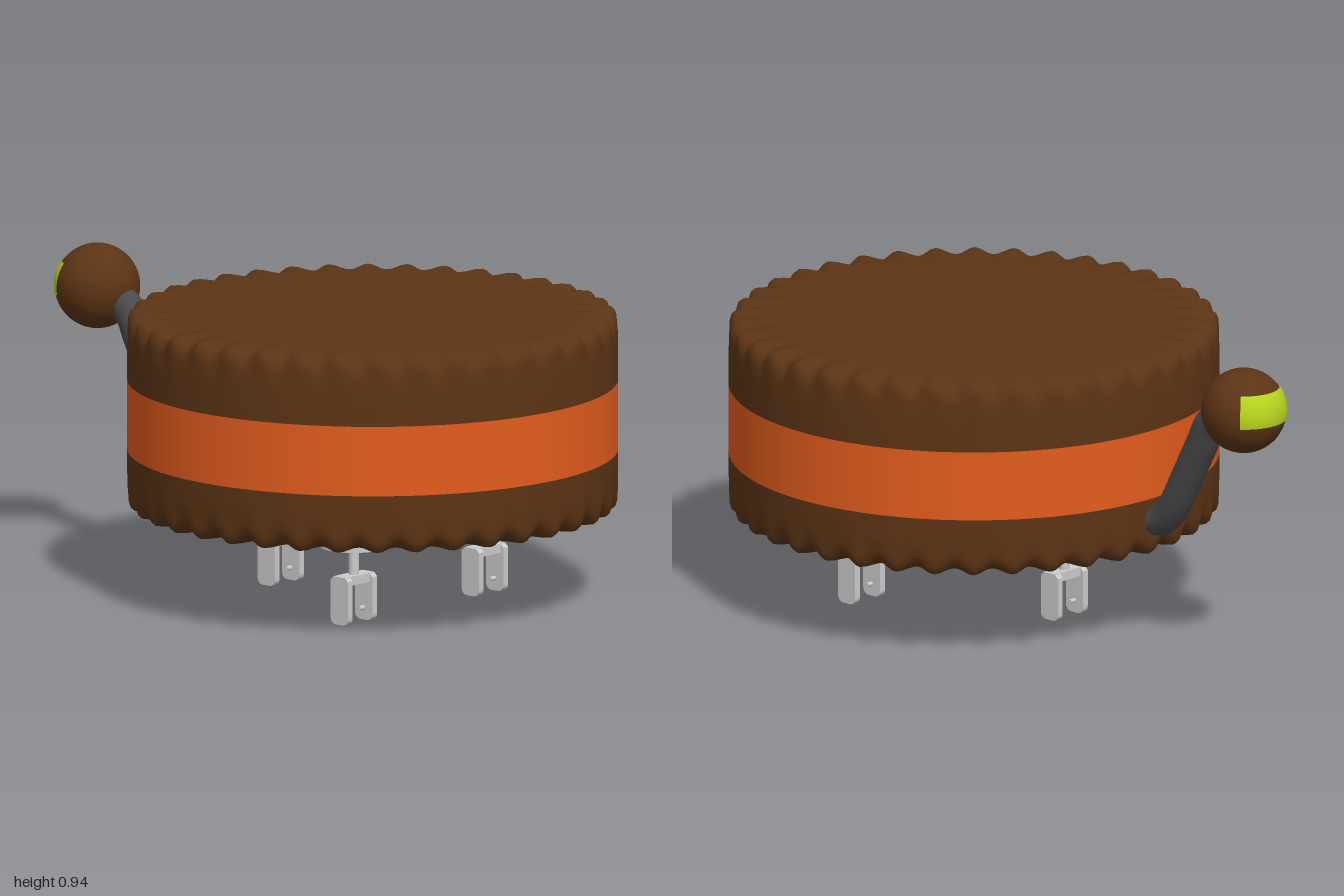
import * as THREE from 'three';
import { mergeVertices } from 'three/addons/utils/BufferGeometryUtils.js';

const material = (color, side = THREE.FrontSide) => new THREE.MeshStandardMaterial({ color, side });
const brown = material(0x5c3415);
const orange = material(0xe35c1e, THREE.DoubleSide);
const yellow = material(0xb8d61e, THREE.DoubleSide);
const rubber = material(0x4a4a4c);
const grey = material(0xcccccc);

function add(parent, name, geometry, mat, x = 0, y = 0, z = 0) {
  const mesh = new THREE.Mesh(geometry, mat);
  mesh.name = name;
  mesh.position.set(x, y, z);
  parent.add(mesh);
  return mesh;
}

const RADIUS = 0.745, TOP = 0.89, BOTTOM = 0.275, CENTRE_Z = 0.25, PLEATS = 38;

// Cushion half: lathe profile whose rim is pinched in and down between the pleats
function cushionHalf(isTop) {
  // radius, drop from the flat face, pinch weight
  const rim = [
    [RADIUS, 0.215, 0], [RADIUS, 0.11, 0], [RADIUS, 0.06, 0.35], [0.744, 0.035, 0.8], [0.738, 0.016, 1],
    [0.725, 0.005, 1], [0.70, 0.001, 0.75], [0.66, 0, 0.4], [0.6, 0, 0.15], [0.52, 0, 0], [0, 0, 0],
  ];
  if (!isTop) {
    rim[0][1] = 0.185;
    rim.reverse();
  }
  const face = isTop ? TOP : BOTTOM, sign = isTop ? -1 : 1;
  const profile = rim.map(([r, d]) => new THREE.Vector2(r, face + sign * d));
  const geometry = new THREE.LatheGeometry(profile, PLEATS * 8);
  const p = geometry.attributes.position;
  for (let i = 0; i < p.count; i++) {
    const weight = rim[i % rim.length][2];
    const x = p.getX(i), z = p.getZ(i);
    const pinch = weight * (0.5 - 0.5 * Math.cos(PLEATS * Math.atan2(x, z)));
    const scale = 1 - 0.02 * pinch;
    p.setXYZ(i, x * scale, p.getY(i) + sign * 0.02 * pinch, z * scale);
  }
  geometry.deleteAttribute('normal');
  geometry.deleteAttribute('uv');
  const merged = mergeVertices(geometry, 1e-5);
  merged.computeVertexNormals();
  return merged;
}

// Fork leg outline (rounded rectangle), extruded through its thickness
function legGeometry(depth, height, thickness, r) {
  const w = depth / 2, s = new THREE.Shape();
  s.moveTo(-w + r, 0);
  s.lineTo(w - r, 0);
  s.quadraticCurveTo(w, 0, w, r);
  s.lineTo(w, height - r / 2);
  s.lineTo(w - r / 2, height);
  s.lineTo(-w + r / 2, height);
  s.lineTo(-w, height - r / 2);
  s.lineTo(-w, r);
  s.quadraticCurveTo(-w, 0, -w + r, 0);
  const g = new THREE.ExtrudeGeometry(s, { depth: thickness, bevelEnabled: false, curveSegments: 6 });
  g.translate(0, 0, -thickness / 2);
  g.rotateY(Math.PI / 2);
  return g;
}

// Foot: mounting disc, stem and an open fork with axle pins
function foot(x, z) {
  const group = new THREE.Group();
  group.name = 'forkFoot';
  group.position.set(x, 0, z);
  add(group, 'mountingDisc', new THREE.CylinderGeometry(0.105, 0.105, 0.042, 40), grey, 0, 0.257);
  add(group, 'stem', new THREE.CylinderGeometry(0.016, 0.016, 0.1, 20), grey, 0, 0.19);
  add(group, 'forkBridge', new THREE.BoxGeometry(0.115, 0.028, 0.05), grey, 0, 0.136);
  for (const side of [-1, 1]) {
    add(group, 'forkLeg', legGeometry(0.07, 0.148, 0.022, 0.024), grey, side * 0.056, 0.002);
    const pin = new THREE.CylinderGeometry(0.007, 0.007, 0.024, 12).rotateZ(Math.PI / 2);
    add(group, 'axlePin', pin, grey, side * 0.036, 0.04);
  }
  return group;
}

export function createModel() {
  const model = new THREE.Group();
  model.name = 'cushionOnFeet';

  // Round body with a plain band
  add(model, 'upperCushion', cushionHalf(true), brown, 0, 0, CENTRE_Z);
  add(model, 'lowerCushion', cushionHalf(false), brown, 0, 0, CENTRE_Z);
  const band = new THREE.CylinderGeometry(RADIUS, RADIUS, 0.215, 152, 1, true);
  add(model, 'middleBand', band, orange, 0, 0.5675, CENTRE_Z);

  // Three feet
  for (const [x, z] of [[-0.335, 0.47], [0.265, 0.47], [-0.025, -0.1]]) model.add(foot(x, z));

  // Bent tail arm
  const path = new THREE.CatmullRomCurve3([
    [-0.012, 0.39, -0.46], [-0.012, 0.395, -0.515], [-0.008, 0.45, -0.57], [-0.004, 0.55, -0.627],
    [0.0, 0.67, -0.692], [0.004, 0.76, -0.745], [0.005, 0.81, -0.85],
  ].map((c) => new THREE.Vector3(...c)));
  add(model, 'tailArm', new THREE.TubeGeometry(path, 48, 0.05, 20), rubber);

  // Ball at the end with a curved patch on its back
  const ball = new THREE.Group();
  ball.name = 'tailBall';
  ball.position.set(0.003, 0.814, -0.868);
  model.add(ball);
  add(ball, 'ball', new THREE.SphereGeometry(0.13, 40, 28), brown);
  const deg = Math.PI / 180;
  const patch = new THREE.SphereGeometry(0.1325, 32, 14, 218 * deg, 114 * deg, 55 * deg, 45 * deg);
  add(ball, 'ballPatch', patch, yellow);

  return model;
}
